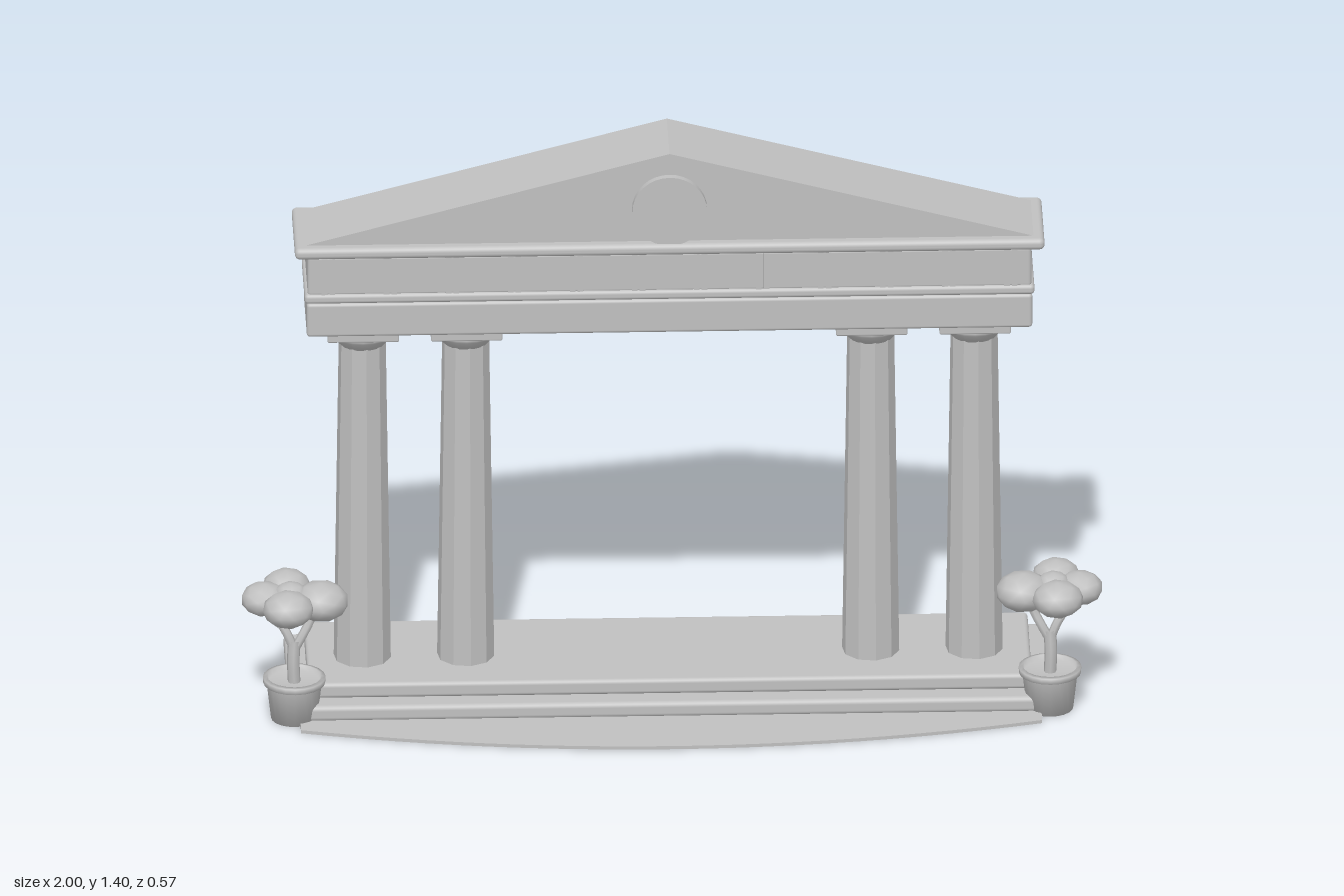
import * as THREE from 'three';
import { RoundedBoxGeometry } from 'three/addons/geometries/RoundedBoxGeometry.js';

const stone = new THREE.MeshStandardMaterial({ color: 0xc0c0c0 });
stone.name = 'grey stone';

function add(parent, name, geometry, x = 0, y = 0, z = 0) {
  const mesh = new THREE.Mesh(geometry, stone);
  mesh.name = name;
  mesh.position.set(x, y, z);
  parent.add(mesh);
  return mesh;
}

// Soft-edged slab given by its half width and its y and z ranges
function slab(parent, name, halfX, y0, y1, z0, z1, radius = 0.008, x = 0) {
  const g = new RoundedBoxGeometry(halfX * 2, y1 - y0, z1 - z0, 3, radius);
  return add(parent, name, g, x, (y0 + y1) / 2, (z0 + z1) / 2);
}

// Ten-sided tapered column with flared capital and square abacus
function makeColumn(x) {
  const column = new THREE.Group();
  column.name = 'column';
  column.position.set(x, 0, -0.079);
  const shaft = new THREE.CylinderGeometry(0.055, 0.067, 0.83, 10, 1, true).toNonIndexed();
  shaft.computeVertexNormals();
  add(column, 'columnShaft', shaft, 0, 0.485, 0).rotation.y = 0.15;
  const profile = [[0.053, 0.885], [0.06, 0.893], [0.078, 0.912], [0.08, 0.922], [0, 0.922]];
  add(column, 'capital', new THREE.LatheGeometry(profile.map(p => new THREE.Vector2(...p)), 20));
  slab(column, 'abacus', 0.083, 0.92, 0.948, -0.083, 0.083, 0.004);
  return column;
}

// Potted tree standing at the right-hand corner; side mirrors it
function makePlant(side) {
  const plant = new THREE.Group();
  plant.name = 'pottedTree';
  const cx = side * 0.877, cz = 0.082;
  const pot = [[0, 0], [0.054, 0], [0.064, 0.088], [0.072, 0.09], [0.073, 0.104],
    [0.063, 0.106], [0.061, 0.092], [0, 0.092]];
  add(plant, 'pot', new THREE.LatheGeometry(pot.map(p => new THREE.Vector2(...p)), 20), cx, 0, cz);

  const limb = (name, pts, r) => add(plant, name, new THREE.TubeGeometry(
    new THREE.CatmullRomCurve3(pts.map(([x, y, z]) => new THREE.Vector3(side * x, y, z))), 8, r, 7));
  limb('trunk', [[0.877, 0.085, cz], [0.879, 0.14, cz], [0.877, 0.195, 0.077]], 0.015);
  limb('branch', [[0.877, 0.17, 0.079], [0.893, 0.21, 0.076], [0.915, 0.25, 0.068], [0.922, 0.29, 0.066]], 0.011);
  limb('branch', [[0.877, 0.17, 0.079], [0.858, 0.205, 0.076], [0.838, 0.245, 0.068], [0.828, 0.29, 0.066]], 0.011);

  // Flattened leaf clumps: x, y, z, radius
  for (const [x, y, z, r] of [[0.893, 0.306, 0.015, 0.056], [0.946, 0.3, 0.072, 0.055],
    [0.815, 0.3, 0.088, 0.065], [0.893, 0.306, 0.146, 0.06], [0.885, 0.315, 0.08, 0.04]]) {
    const clump = add(plant, 'foliage', new THREE.IcosahedronGeometry(r, 1), side * x, y, z);
    clump.scale.y = 0.7;
    clump.rotation.y = x * 9;
  }
  return plant;
}

export function createModel() {
  const model = new THREE.Group();
  model.name = 'portico';
  const building = new THREE.Group();
  building.name = 'building';
  building.position.x = -0.004;
  model.add(building);

  // Curved paving in front of the steps
  const paving = new THREE.Shape();
  paving.moveTo(-0.86, -0.09);
  for (let i = 0; i <= 24; i++) {
    const x = -0.86 + (1.72 * i) / 24;
    paving.lineTo(x, -(0.285 - 0.155 * x * x));
  }
  paving.lineTo(0.86, -0.09);
  add(building, 'paving', new THREE.ExtrudeGeometry(paving, { depth: 0.008, bevelEnabled: false }))
    .rotation.x = -Math.PI / 2;

  // Steps
  slab(building, 'lowerStep', 0.886, 0.004, 0.043, -0.288, 0.122, 0.012);
  slab(building, 'upperStep', 0.84, 0.042, 0.08, -0.272, 0.075, 0.01);

  for (const x of [-0.71, -0.47, 0.47, 0.71]) building.add(makeColumn(x));

  // Entablature
  slab(building, 'architrave', 0.842, 0.945, 1.03, -0.183, 0.025);
  slab(building, 'band', 0.847, 1.031, 1.055, -0.187, 0.029, 0.009);
  slab(building, 'frieze', 0.84, 1.05, 1.15, -0.181, 0.023);
  slab(building, 'cornice', 0.87, 1.15, 1.178, -0.2, 0.043, 0.012);

  // Thin upright ribs along both long sides of the frieze
  for (let i = 0; i < 12; i++) {
    const x = (i - 5.5) * 0.144;
    for (const z of [0.023, -0.181]) {
      for (const dx of [-0.009, 0.009]) {
        add(building, 'friezeRib', new THREE.BoxGeometry(0.013, 0.092, 0.006), x + dx, 1.1, z);
      }
    }
  }

  // Gabled roof with a round medallion
  const gable = new THREE.Shape();
  gable.moveTo(-0.86, 1.174);
  gable.lineTo(0.86, 1.174);
  gable.lineTo(0, 1.4);
  gable.closePath();
  add(building, 'pediment', new THREE.ExtrudeGeometry(gable, { depth: 0.194, bevelEnabled: false }), 0, 0, -0.176);
  add(building, 'medallion', new THREE.CylinderGeometry(0.087, 0.087, 0.02, 32), 0, 1.26, 0.025)
    .rotation.x = Math.PI / 2;

  for (const side of [-1, 1]) model.add(makePlant(side));
  return model;
}
